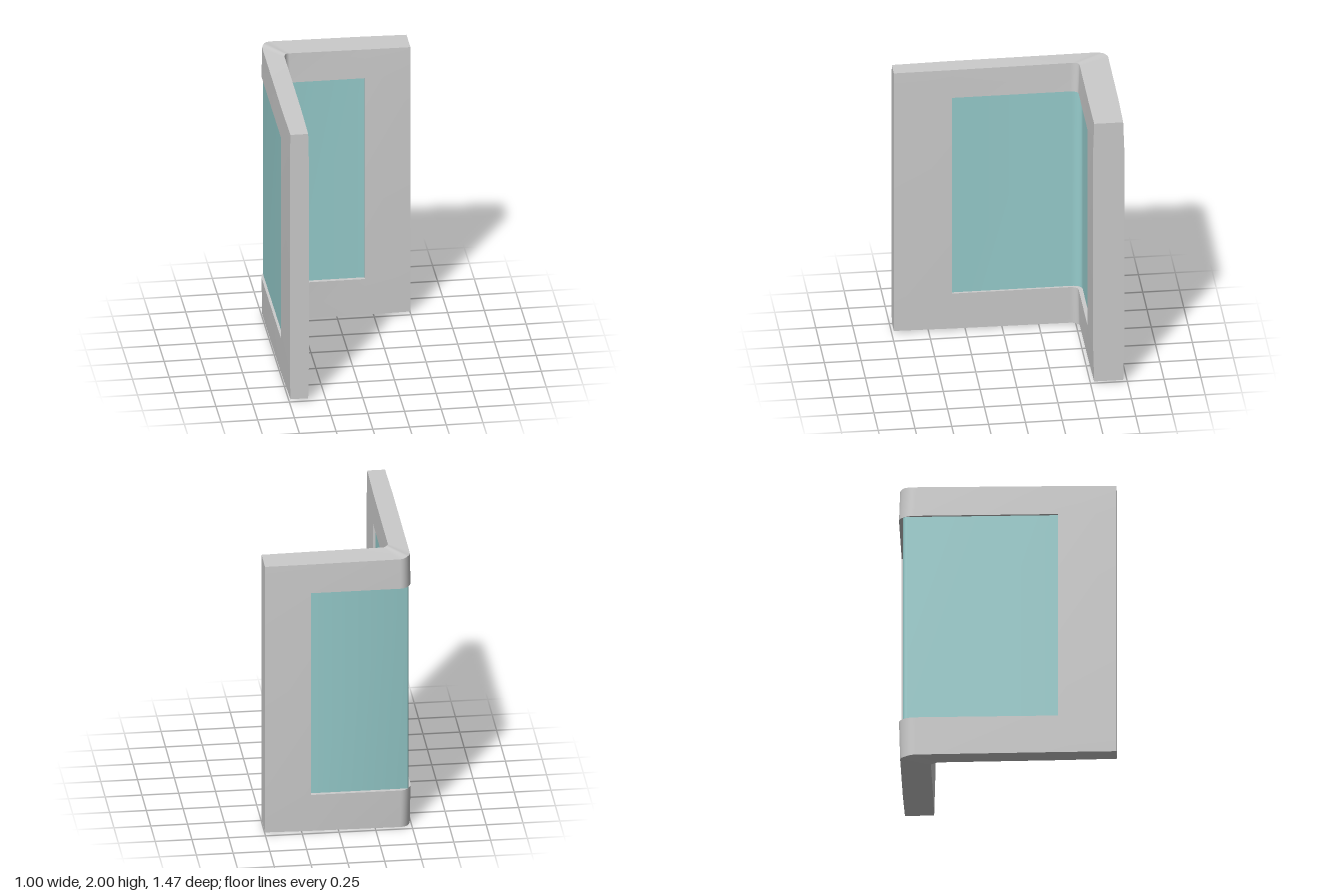
import * as THREE from 'three';
import { toCreasedNormals } from 'three/addons/utils/BufferGeometryUtils.js';

const CORNER_STEPS = 8;

// Plan of the L, from the front end round the corner to the side end.
// Each station has an outer and an inner [x, z] point and a height trim.
function planStations(insetX, insetZ, outerR, innerR) {
  const oX = -0.5 + insetX, oZ = -0.735 + insetZ;
  const iX = -0.36 - insetX, iZ = -0.515 - insetZ;
  const arc = (x, z, [rx, rz], t) => [x + rx * (1 - Math.cos(t)), z + rz * (1 - Math.sin(t))];
  const list = [
    { out: [-0.495, 0.735], inn: [-0.365, 0.735], trim: 0.013 },
    { out: [oX, 0.34], inn: [iX, 0.34], trim: 0.01 },
  ];
  for (let k = 0; k <= CORNER_STEPS; k++) {
    const t = (k / CORNER_STEPS) * Math.PI / 2;
    list.push({
      out: arc(oX, oZ, outerR, t),
      inn: arc(iX, iZ, innerR, t),
      trim: 0.005 * Math.abs(Math.cos(2 * t)),
    });
  }
  list.push({ out: [0.19, oZ], inn: [0.19, iZ], trim: 0.01 });
  list.push({ out: [0.5, -0.73], inn: [0.5, -0.518], trim: 0.013 });
  return list;
}

// Shell over a station/row grid; edges next to empty cells are closed if capped.
function gridShell(stations, rows, filled, capped) {
  const pos = [];
  const lastRow = rows.length - 1;
  const point = (i, j, side) => {
    const s = stations[i];
    const edge = j === 0 || j === lastRow;
    const f = edge ? 0.035 : 0; // slight thinning at top and bottom
    const [a, b] = side === 'out' ? [s.out, s.inn] : [s.inn, s.out];
    const y = rows[j] + (j === 0 ? s.trim : j === lastRow ? -s.trim : 0);
    return [a[0] + (b[0] - a[0]) * f, y, a[1] + (b[1] - a[1]) * f];
  };
  const quad = (a, b, c, d) => pos.push(...a, ...b, ...c, ...a, ...c, ...d);
  const has = (i, j) =>
    i >= 0 && j >= 0 && i < stations.length - 1 && j < lastRow && filled(i, j);

  for (let i = 0; i < stations.length - 1; i++) {
    for (let j = 0; j < lastRow; j++) {
      if (!has(i, j)) continue;
      const o = (di, dj) => point(i + di, j + dj, 'out');
      const n = (di, dj) => point(i + di, j + dj, 'inn');
      quad(n(0, 0), n(1, 0), n(1, 1), n(0, 1));
      quad(o(0, 1), o(1, 1), o(1, 0), o(0, 0));
      if (!capped) continue;
      if (!has(i, j + 1)) quad(o(0, 1), n(0, 1), n(1, 1), o(1, 1));
      if (!has(i, j - 1)) quad(o(1, 0), n(1, 0), n(0, 0), o(0, 0));
      if (!has(i - 1, j)) quad(o(0, 0), n(0, 0), n(0, 1), o(0, 1));
      if (!has(i + 1, j)) quad(o(1, 1), n(1, 1), n(1, 0), o(1, 0));
    }
  }
  const g = new THREE.BufferGeometry();
  g.setAttribute('position', new THREE.Float32BufferAttribute(pos, 3));
  return toCreasedNormals(g, 0.5);
}

export function createModel() {
  const group = new THREE.Group();
  group.name = 'cornerWindowWall';
  const rows = [0, 0.28, 1.78, 2];
  const add = (name, geometry, color) => {
    const mesh = new THREE.Mesh(geometry, new THREE.MeshStandardMaterial({ color }));
    mesh.name = name;
    group.add(mesh);
  };

  // Wall with one opening that wraps round the corner
  const wall = planStations(0, 0, [0.08, 0.11], [0.04, 0.055]);
  const inOpening = (i, j) => j === 1 && i > 0 && i < wall.length - 2;
  add('wall', gridShell(wall, rows, (i, j) => !inOpening(i, j), true), 0xcccccc);

  // Corner glazing, set back slightly from both wall faces
  const pane = planStations(0.018, 0.028, [0.02, 0.03], [0.05, 0.07]);
  add('cornerGlass', gridShell(pane, rows, inOpening, false), 0x96cccc);

  return group;
}
